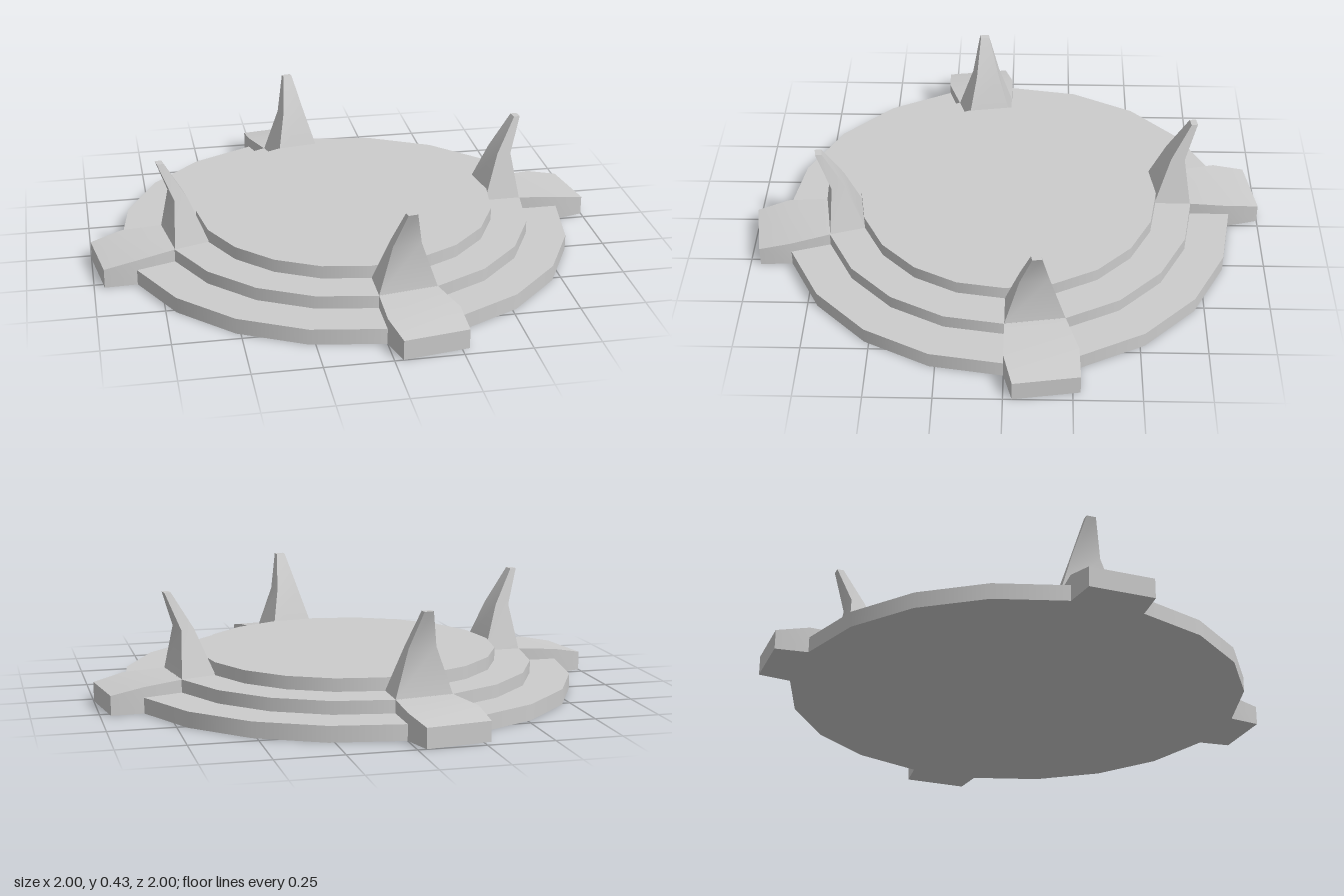
import * as THREE from 'three';
import { toCreasedNormals } from 'three/addons/utils/BufferGeometryUtils.js';

const material = new THREE.MeshStandardMaterial({ color: 0xcccccc });

// Skin a row of four-cornered sections, with both ends closed.
// Corners run counter-clockwise as seen from the last section.
function loft(sections) {
  const positions = sections.flat(2);
  const index = [];
  const quad = (a, b, c, d) => index.push(a, b, c, a, c, d);
  for (let i = 0; i < sections.length - 1; i++) {
    for (let j = 0; j < 4; j++) {
      const a = i * 4 + j, b = i * 4 + (j + 1) % 4;
      quad(a, b, b + 4, a + 4);
    }
  }
  const e = (sections.length - 1) * 4;
  quad(3, 2, 1, 0);
  quad(e, e + 1, e + 2, e + 3);
  const geometry = new THREE.BufferGeometry();
  geometry.setAttribute('position', new THREE.Float32BufferAttribute(positions, 3));
  geometry.setIndex(index);
  return toCreasedNormals(geometry.toNonIndexed(), 0.55);
}

// Foot section across z: half width and top height
const footSection = ([z, half, top]) =>
  [[-half, 0, z], [half, 0, z], [half, top, z], [-half, top, z]];

// Horn section at a height: outer and inner half widths and depths
const hornSection = ([y, outHalf, outZ, inHalf, inZ]) =>
  [[outHalf, y, outZ], [inHalf, y, inZ], [-inHalf, y, inZ], [-outHalf, y, outZ]];

export function createModel() {
  const model = new THREE.Group();
  model.name = 'hornedPlatform';

  const add = (parent, geometry, name) => {
    const mesh = new THREE.Mesh(geometry, material);
    mesh.name = name;
    parent.add(mesh);
    return mesh;
  };

  // Three stacked twenty-sided steps
  const steps = [['lowerStep', 0.88, 0, 0.06], ['middleStep', 0.725, 0.06, 0.11], ['upperStep', 0.585, 0.11, 0.16]];
  for (const [name, radius, bottom, top] of steps) {
    const step = add(model, new THREE.CylinderGeometry(radius, radius, top - bottom, 20), name);
    step.position.y = (bottom + top) / 2;
  }

  // Foot slopes down past the rim; horn narrows, then bends outward
  const footGeometry = loft([
    [0.711, 0.113, 0.11], [0.869, 0.138, 0.1], [0.992, 0.124, 0.075],
  ].map(footSection));
  const hornGeometry = loft([
    [0.11, 0.113, 0.714, 0.091, 0.575],
    [0.285, 0.055, 0.695, 0.046, 0.642],
    [0.425, 0.018, 0.747, 0.018, 0.722],
  ].map(hornSection));

  // Four arms, each centred on one side of the steps
  for (let i = 0; i < 4; i++) {
    const arm = new THREE.Group();
    arm.name = `arm${i + 1}`;
    arm.rotation.y = Math.PI / 20 + i * Math.PI / 2;
    add(arm, footGeometry, 'foot');
    add(arm, hornGeometry, 'horn');
    model.add(arm);
  }
  return model;
}
